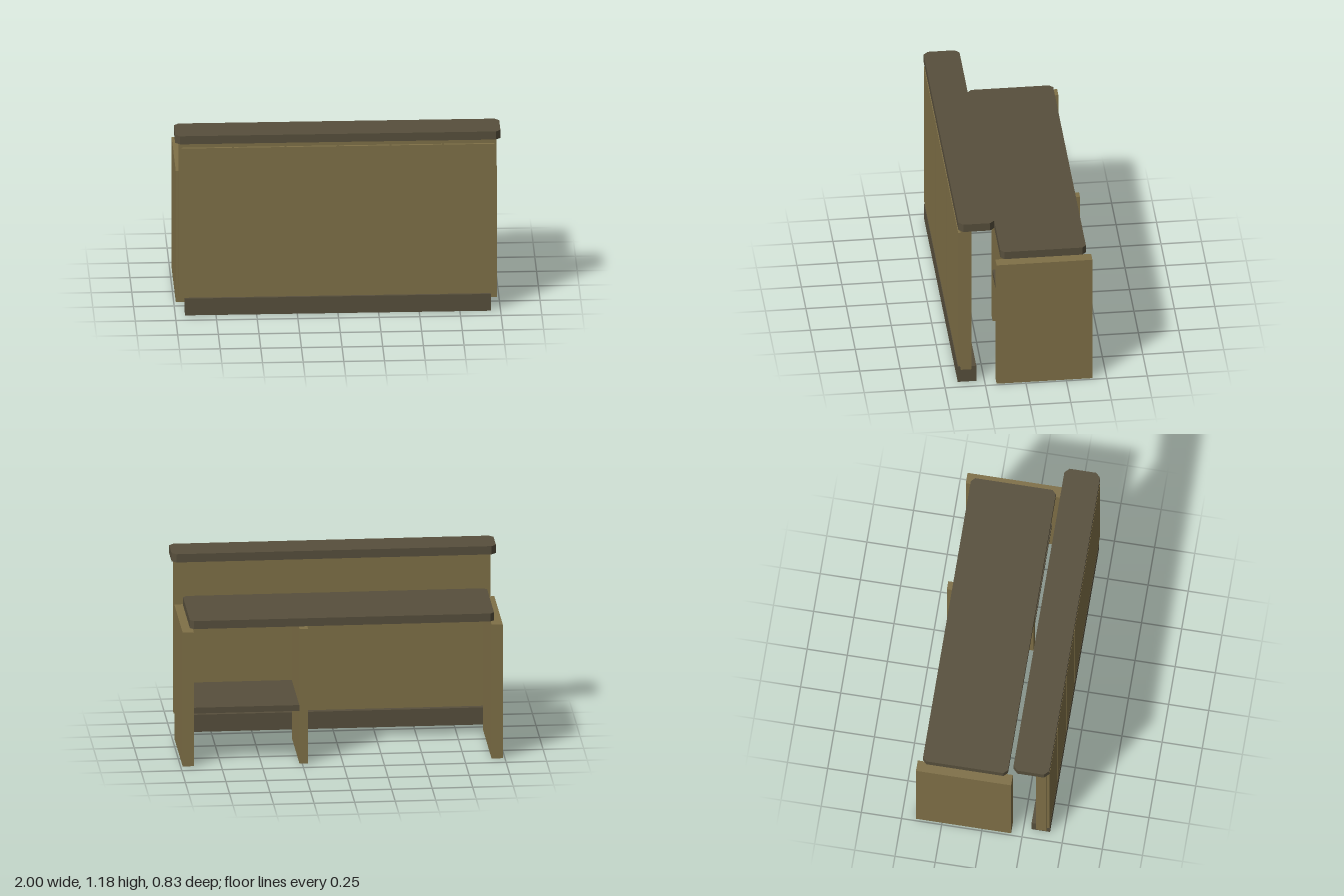
import * as THREE from 'three';

const wood = new THREE.MeshStandardMaterial({ color: 0x7f7047 });
const dark = new THREE.MeshStandardMaterial({ color: 0x574f3c });

// Box given by its min and max extents
function box(name, material, [x0, x1], [y0, y1], [z0, z1]) {
  const mesh = new THREE.Mesh(new THREE.BoxGeometry(x1 - x0, y1 - y0, z1 - z0), material);
  mesh.position.set((x0 + x1) / 2, (y0 + y1) / 2, (z0 + z1) / 2);
  mesh.name = name;
  return mesh;
}

// Horizontal slab with clipped vertical corners
function slab(name, halfX, [y0, y1], [z0, z1], cut) {
  const h = (z1 - z0) / 2;
  const outline = [
    [-halfX + cut, -h], [halfX - cut, -h], [halfX, -h + cut], [halfX, h - cut],
    [halfX - cut, h], [-halfX + cut, h], [-halfX, h - cut], [-halfX, -h + cut],
  ].map(([x, y]) => new THREE.Vector2(x, y));
  const geometry = new THREE.ExtrudeGeometry(new THREE.Shape(outline), { depth: y1 - y0, bevelEnabled: false });
  geometry.rotateX(-Math.PI / 2);
  const mesh = new THREE.Mesh(geometry, dark);
  mesh.position.set(0, y0, (z0 + z1) / 2);
  mesh.name = name;
  return mesh;
}

export function createModel() {
  const group = new THREE.Group();
  group.name = 'receptionCounter';

  // Front wall on its plinth, with the high ledge above
  group.add(
    box('plinth', dark, [-0.94, 0.94], [0, 0.11], [0.3, 0.415]),
    box('frontWall', wood, [-0.977, 0.977], [0.11, 1.12], [0.335, 0.4]),
    slab('upperCounter', 1, [1.125, 1.178], [0.193, 0.415], 0.028),
  );

  // Six raised panels on the front
  for (let i = 0; i < 6; i++) {
    const x = (i - 2.5) * 0.323;
    group.add(box('frontPanel', wood, [x - 0.155, x + 0.155], [0.13, 1.097], [0.4, 0.415]));
  }

  // Desk behind the wall
  group.add(slab('deskTop', 0.938, [0.871, 0.922], [-0.38, 0.149], 0.024));
  for (const [x0, x1] of [[-0.987, -0.918], [0.918, 0.987]]) {
    group.add(box('sidePanel', wood, [x0, x1], [0, 0.86], [-0.412, 0.18]));
  }
  group.add(
    box('divider', wood, [0.214, 0.267], [0, 0.865], [-0.415, 0.125]),
    box('shelf', dark, [0.267, 0.918], [0.335, 0.372], [-0.402, 0.125]),
  );
  return group;
}
